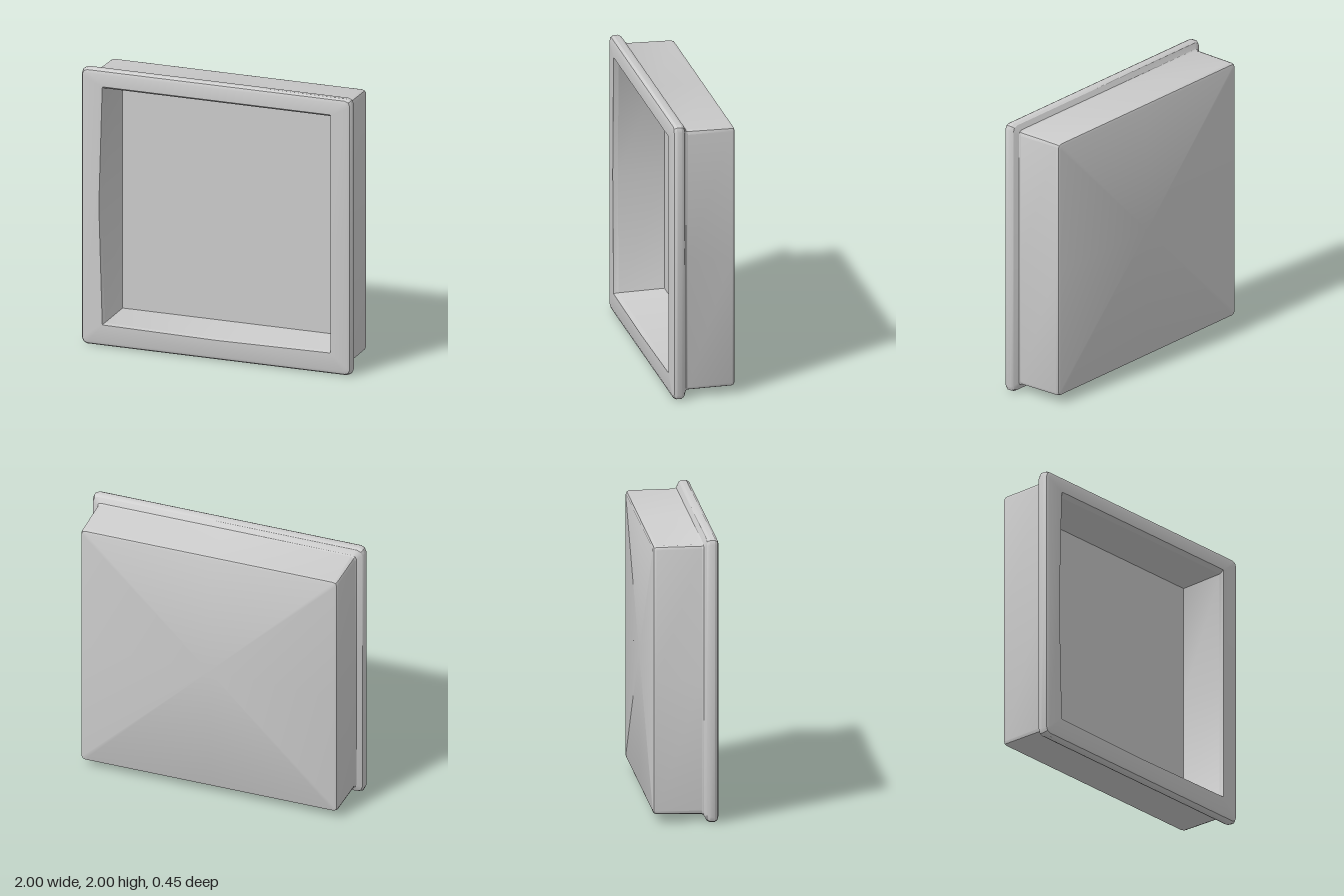
import * as THREE from 'three';
import { toCreasedNormals } from 'three/addons/utils/BufferGeometryUtils.js';

// Square section: bounds, depth, corner radius, and bow of the left and bottom sides
const section = (x0, x1, y0, y1, z, r = 0.02, bowLeft = 0, bowBottom = 0) =>
  ({ x0, x1, y0, y1, z, r, bowLeft, bowBottom });
const square = (h, z, r) => section(-h, h, 1 - h, 1 + h, z, r);

// Outline of a section, counter-clockwise from the middle of the right side
function outline({ x0, x1, y0, y1, z, r, bowLeft, bowBottom }) {
  const mx = (x0 + x1) / 2, my = (y0 + y1) / 2;
  const corners = [[x1 - r, y1 - r], [x0 + r, y1 - r], [x0 + r, y0 + r], [x1 - r, y0 + r]];
  const middles = [[x1, my], [mx, y1], [x0 - bowLeft, my], [mx, y0 - bowBottom]];
  const points = [];
  for (let k = 0; k < 4; k++) {
    points.push([...middles[k], z]);
    for (let s = 0; s <= 2; s++) {
      const a = (k + s / 2) * Math.PI / 2;
      points.push([corners[k][0] + r * Math.cos(a), corners[k][1] + r * Math.sin(a), z]);
    }
  }
  return points;
}

// Skin through the sections, optionally closed at the first or last one
function loft(name, sections, material, capStart = false, capEnd = false) {
  const rings = sections.map(outline);
  const n = rings[0].length;
  const positions = rings.flat(2);
  const index = [];
  for (let i = 0; i < rings.length - 1; i++) {
    for (let j = 0; j < n; j++) {
      const a = i * n + j, b = i * n + (j + 1) % n;
      index.push(a, a + n, b + n, a, b + n, b);
    }
  }
  const cap = (s, start, flip) => {
    const centre = positions.length / 3;
    positions.push((s.x0 + s.x1) / 2, (s.y0 + s.y1) / 2, s.z);
    for (let j = 0; j < n; j++) {
      const a = start + j, b = start + (j + 1) % n;
      index.push(centre, flip ? b : a, flip ? a : b);
    }
  };
  if (capStart) cap(sections[0], 0, false);
  if (capEnd) cap(sections.at(-1), (rings.length - 1) * n, true);

  const geometry = new THREE.BufferGeometry();
  geometry.setAttribute('position', new THREE.Float32BufferAttribute(positions, 3));
  geometry.setIndex(index);
  const mesh = new THREE.Mesh(toCreasedNormals(geometry, 0.5), material);
  mesh.name = name;
  return mesh;
}

export function createModel() {
  const group = new THREE.Group();
  group.name = 'recessedTray';
  const material = new THREE.MeshStandardMaterial({ color: 0xcccccc });

  const mouth = section(-0.835, 0.85, 0.16, 1.86, 0.19, 0.006, 0.025, 0.01);
  const neck = square(0.955, 0.125, 0.03);

  // Inner walls and back panel
  group.add(loft('recess', [
    section(-0.83, 0.84, 0.17, 1.845, -0.133, 0.005),
    mouth,
  ], material, true));

  // Projecting front frame with softened edges
  group.add(loft('frontFrame', [
    mouth,
    section(-0.84, 0.85, 0.155, 1.88, 0.225, 0.008, 0.025, 0.01),
    square(0.968, 0.225, 0.03),
    square(0.989, 0.217, 0.035),
    square(1, 0.198, 0.04),
    square(1, 0.165, 0.04),
    square(0.99, 0.145, 0.04),
    neck,
  ], material));

  // Outer casing with a bevelled back edge
  group.add(loft('casing', [
    neck,
    square(0.949, 0.112, 0.03),
    square(0.944, -0.2, 0.025),
    square(0.938, -0.218, 0.025),
    square(0.922, -0.225, 0.02),
  ], material, false, true));

  return group;
}
